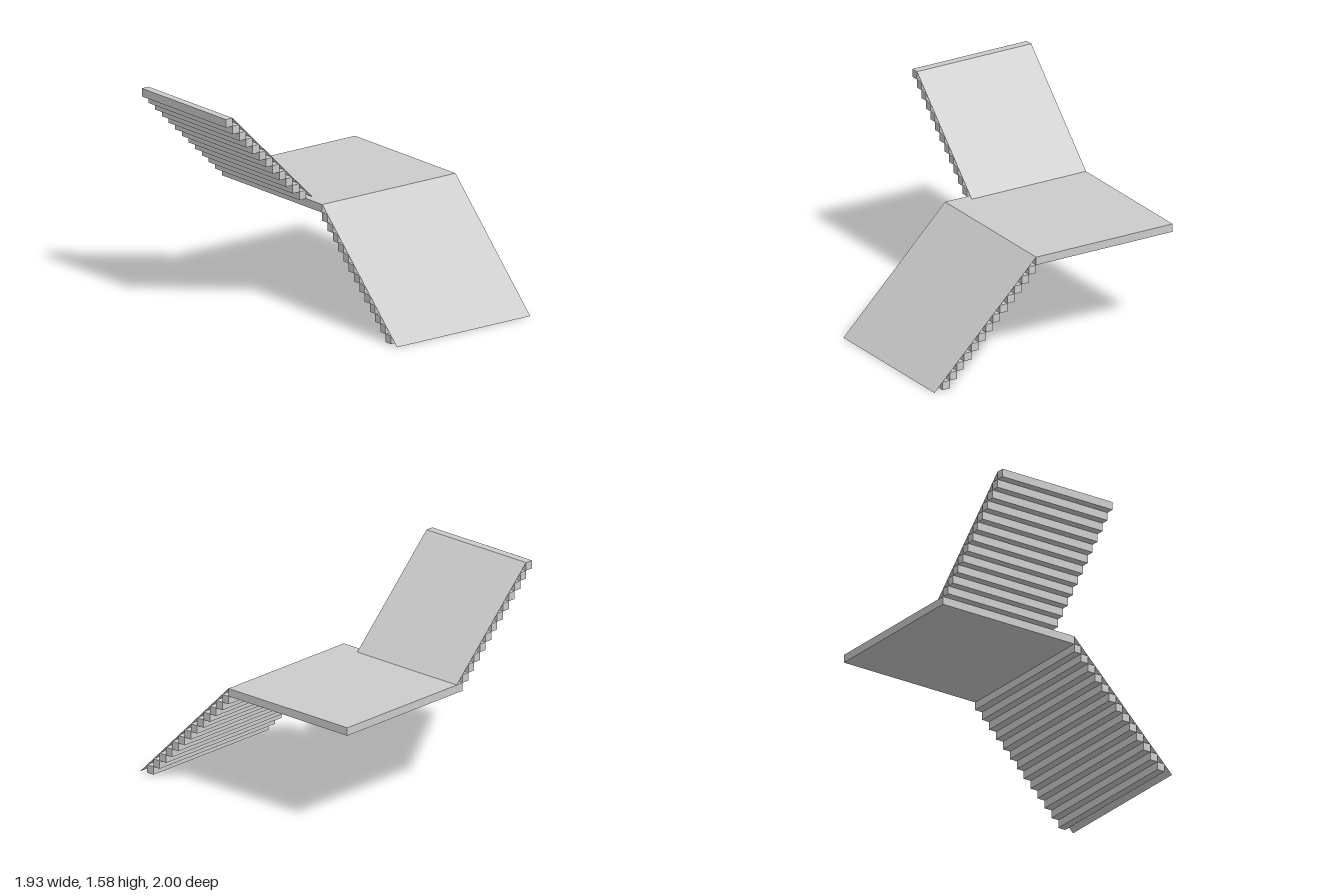
import * as THREE from 'three';

export function createModel() {
  const model = new THREE.Group();
  const solid = new THREE.MeshStandardMaterial({ color: 0xcccccc, flatShading: true });
  const sheet = new THREE.MeshStandardMaterial({ color: 0xcccccc, flatShading: true, side: THREE.DoubleSide });

  const S = 0.0604; // rise, run and thickness of a step
  const LEFT = 0.963, RIGHT = -0.243; // landing sides
  const FRONT = 0.145, BACK = -1; // landing front and back
  const TOP = 0.853; // landing surface
  const WIDTH = LEFT - RIGHT;
  const MID = (LEFT + RIGHT) / 2;

  function box(name, parent, size, position) {
    const mesh = new THREE.Mesh(new THREE.BoxGeometry(...size), solid);
    mesh.name = name;
    mesh.position.set(...position);
    parent.add(mesh);
  }

  // Thin sheet lying on the step edges, corners counter-clockwise from above
  function ramp(name, parent, corners) {
    const geometry = new THREE.BufferGeometry();
    geometry.setAttribute('position', new THREE.Float32BufferAttribute(corners.flat(), 3));
    geometry.setIndex([0, 1, 2, 0, 2, 3]);
    geometry.computeVertexNormals();
    const mesh = new THREE.Mesh(geometry, sheet);
    mesh.name = name;
    parent.add(mesh);
  }

  // Landing slab
  box('landing', model, [WIDTH, S, FRONT - BACK], [MID, TOP - S / 2, (FRONT + BACK) / 2]);

  // Lower flight descends towards the front
  const lower = new THREE.Group();
  lower.name = 'lowerFlight';
  for (let i = 0; i < 13; i++) {
    box('lowerStep', lower, [WIDTH, S, S], [MID, TOP - S * (i + 1.5), FRONT + S * (i + 0.5)]);
  }
  ramp('lowerRamp', lower, [
    [RIGHT, 0, FRONT + TOP], [LEFT, 0, FRONT + TOP], [LEFT, TOP, FRONT], [RIGHT, TOP, FRONT],
  ]);
  model.add(lower);

  // Upper flight climbs to the right from the back of the landing
  const upper = new THREE.Group();
  upper.name = 'upperFlight';
  const count = 12, near = -0.04, rise = count * S;
  for (let i = 0; i < count; i++) {
    box('upperStep', upper, [S, S, near - BACK],
      [RIGHT - S * (i + 0.5), TOP + S * (i + 0.5), (near + BACK) / 2]);
  }
  const foot = RIGHT + S;
  ramp('upperRamp', upper, [
    [foot, TOP, near], [foot, TOP, BACK], [foot - rise, TOP + rise, BACK], [foot - rise, TOP + rise, near],
  ]);
  model.add(upper);

  return model;
}
